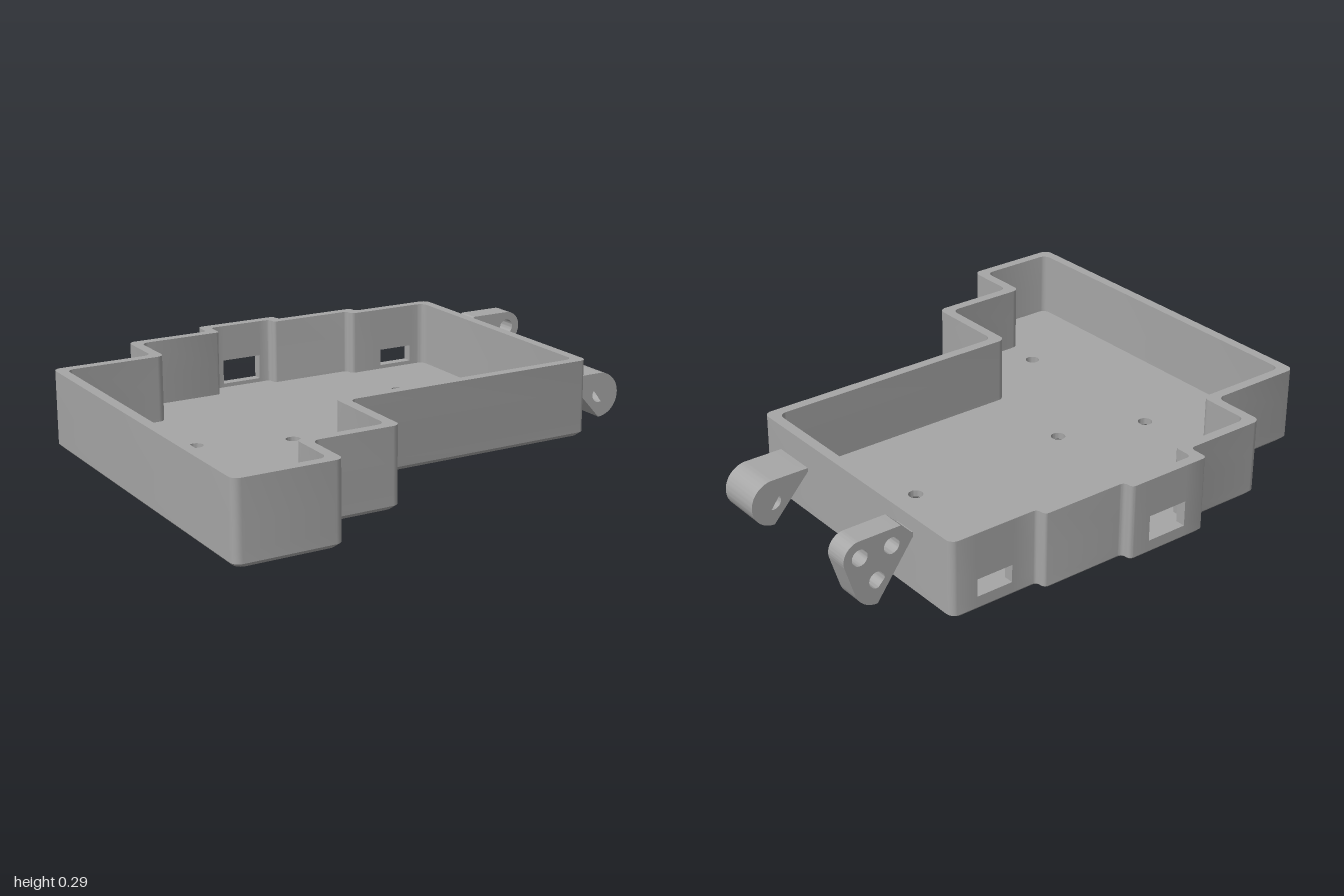
import * as THREE from 'three';
import { mergeGeometries, toCreasedNormals } from 'three/addons/utils/BufferGeometryUtils.js';

const HEIGHT = 0.29, FLOOR = 0.04, WALL = 0.038, CHAMFER = 0.015;

// Openings in the back wall: x range, y range, outer z
const WINDOWS = [
  { x0: -0.19, x1: -0.03, y0: 0.055, y1: 0.15, z: -0.865 },
  { x0: 0.49, x1: 0.63, y0: 0.055, y1: 0.12, z: -0.785 },
];

// Outer outline of the tray: x, z, corner radius (0 = point on a straight edge)
const OUTLINE = [
  [-1, -0.572, 0.03], [-0.613, -0.572, 0.03], [-0.613, -0.785, 0.03], [-0.28, -0.785, 0.018],
  [-0.28, -0.865, 0.018], [-0.19, -0.865, 0], [-0.03, -0.865, 0], [0.055, -0.865, 0.018],
  [0.055, -0.825, 0.018], [0.39, -0.825, 0.018], [0.39, -0.785, 0.018], [0.49, -0.785, 0],
  [0.63, -0.785, 0], [0.732, -0.785, 0.03], [0.732, 0.315, 0.03], [-0.28, 0.315, 0.03],
  [-0.28, 0.65, 0.03], [-0.615, 0.65, 0.03], [-0.615, 0.86, 0.03], [-1, 0.86, 0.03],
];

const SCREWS = [[0.39, -0.45], [0.39, -0.115], [-0.28, -0.09], [-0.615, -0.2], [-0.615, 0.475]];
const SCREW_R = 0.027, SINK_R = 0.042;

// Outline moved inward by t, with rounded corners, as [x, z] points
function outline(t) {
  const n = OUTLINE.length, pts = [];
  const dir = (a, b) => {
    const l = Math.hypot(b[0] - a[0], b[1] - a[1]);
    return [(b[0] - a[0]) / l, (b[1] - a[1]) / l];
  };
  OUTLINE.forEach((p, i) => {
    const d = dir(OUTLINE[(i + n - 1) % n], p), e = dir(p, OUTLINE[(i + 1) % n]), r = p[2];
    if (r === 0) {
      pts.push([p[0] - t * d[1], p[1] + t * d[0]]);
      return;
    }
    const x = p[0] - t * (d[1] + e[1]), z = p[1] + t * (d[0] + e[0]);
    for (let k = 0; k <= 6; k++) {
      const a = (k / 6) * Math.PI / 2, u = r * (Math.sin(a) - 1), v = r * (1 - Math.cos(a));
      pts.push([x + d[0] * u + e[0] * v, z + d[1] * u + e[1] * v]);
    }
  });
  return pts;
}

function circle(cx, cz, r) {
  return Array.from({ length: 32 }, (_, i) => {
    const a = (i / 32) * Math.PI * 2;
    return [cx + r * Math.cos(a), cz + r * Math.sin(a)];
  });
}

const atHeight = (pts, y) => pts.map(([x, z]) => [x, y, z]);

// Skin a row of closed rings; skip(mid) leaves a quad open
function loft(rings, skip = () => false) {
  const out = [];
  for (let j = 0; j + 1 < rings.length; j++) {
    const lo = rings[j], hi = rings[j + 1];
    for (let i = 0; i < lo.length; i++) {
      const k = (i + 1) % lo.length;
      if (skip(lo[i].map((v, c) => (v + hi[k][c]) / 2))) continue;
      out.push(...lo[i], ...hi[i], ...hi[k], ...lo[i], ...hi[k], ...lo[k]);
    }
  }
  const g = new THREE.BufferGeometry();
  g.setAttribute('position', new THREE.Float32BufferAttribute(out, 3));
  return toCreasedNormals(g, 0.5);
}

// Flat plate with round holes, facing up or down
function plate(pts, holeR, y, up) {
  const s = up ? -1 : 1;
  const path = (list) => list.map(([x, z]) => new THREE.Vector2(x, s * z));
  const shape = new THREE.Shape(path(pts));
  for (const [x, z] of SCREWS) shape.holes.push(new THREE.Path(path(circle(x, z, holeR))));
  return new THREE.ShapeGeometry(shape).rotateX(s * Math.PI / 2).translate(0, y, 0);
}

// Extruded hinge lug with round bores
function lug(shape, bores, z0, z1) {
  for (const [x, y] of bores) {
    shape.holes.push(new THREE.Path().absarc(x, y, 0.03, 0, Math.PI * 2, true));
  }
  const g = new THREE.ExtrudeGeometry(shape, { depth: z1 - z0, bevelEnabled: false, curveSegments: 20 });
  return toCreasedNormals(g.translate(0, 0, z0), 0.5);
}

export function createModel() {
  const model = new THREE.Group();
  model.name = 'mountingTray';
  const grey = new THREE.MeshStandardMaterial({ color: 0xa6a6a6 });
  grey.name = 'grey';
  const add = (name, geometry) => {
    const mesh = new THREE.Mesh(geometry, grey);
    mesh.name = name;
    model.add(mesh);
  };

  // Walls: chamfer, outside, rim, inside
  const base = outline(CHAMFER), outer = outline(0), inner = outline(WALL);
  const levels = [0.055, 0.12, 0.15, HEIGHT];
  const rings = [
    atHeight(base, 0), atHeight(outer, CHAMFER),
    ...levels.map((y) => atHeight(outer, y)),
    ...levels.slice().reverse().map((y) => atHeight(inner, y)),
    atHeight(inner, FLOOR),
  ];
  const inWindow = ([x, y, z]) => z < -0.7 && WINDOWS.some(
    (w) => x > w.x0 && x < w.x1 && y > w.y0 && y < w.y1);
  add('walls', loft(rings, inWindow));

  // Window linings through the wall thickness
  add('windowLinings', mergeGeometries(WINDOWS.map(({ x0, x1, y0, y1, z }) => loft(
    [z, z + WALL].map((d) => [[x0, y0, d], [x1, y0, d], [x1, y1, d], [x0, y1, d]])))));

  // Floor and countersunk screw holes
  add('floor', plate(inner, SCREW_R, FLOOR, true));
  add('underside', plate(base, SINK_R, 0, false));
  add('screwHoles', mergeGeometries(SCREWS.map(([x, z]) => loft([
    atHeight(circle(x, z, SCREW_R), FLOOR),
    atHeight(circle(x, z, SCREW_R), 0.015),
    atHeight(circle(x, z, SINK_R), 0),
  ]))));

  // Three-bore lug towards the back
  const back = new THREE.Shape();
  back.moveTo(0.72, 0.022);
  back.absarc(0.875, 0.11, 0.088, -Math.PI / 2, -0.285, false);
  back.absarc(0.937, 0.215, 0.061, -0.285, Math.PI / 2, false);
  back.lineTo(0.778, 0.276);
  back.lineTo(0.736, 0.235);
  back.lineTo(0.72, 0.235);
  add('backLug', lug(back, [[0.815, 0.215], [0.937, 0.215], [0.875, 0.11]], -0.58, -0.493));

  // Single-bore rounded lug towards the front
  const front = new THREE.Shape();
  front.moveTo(0.72, 0.022);
  front.absarc(0.875, 0.108, 0.086, -Math.PI / 2, Math.PI / 2, false);
  front.lineTo(0.72, 0.194);
  add('frontLug', lug(front, [[0.875, 0.11]], 0.038, 0.21));

  return model;
}
